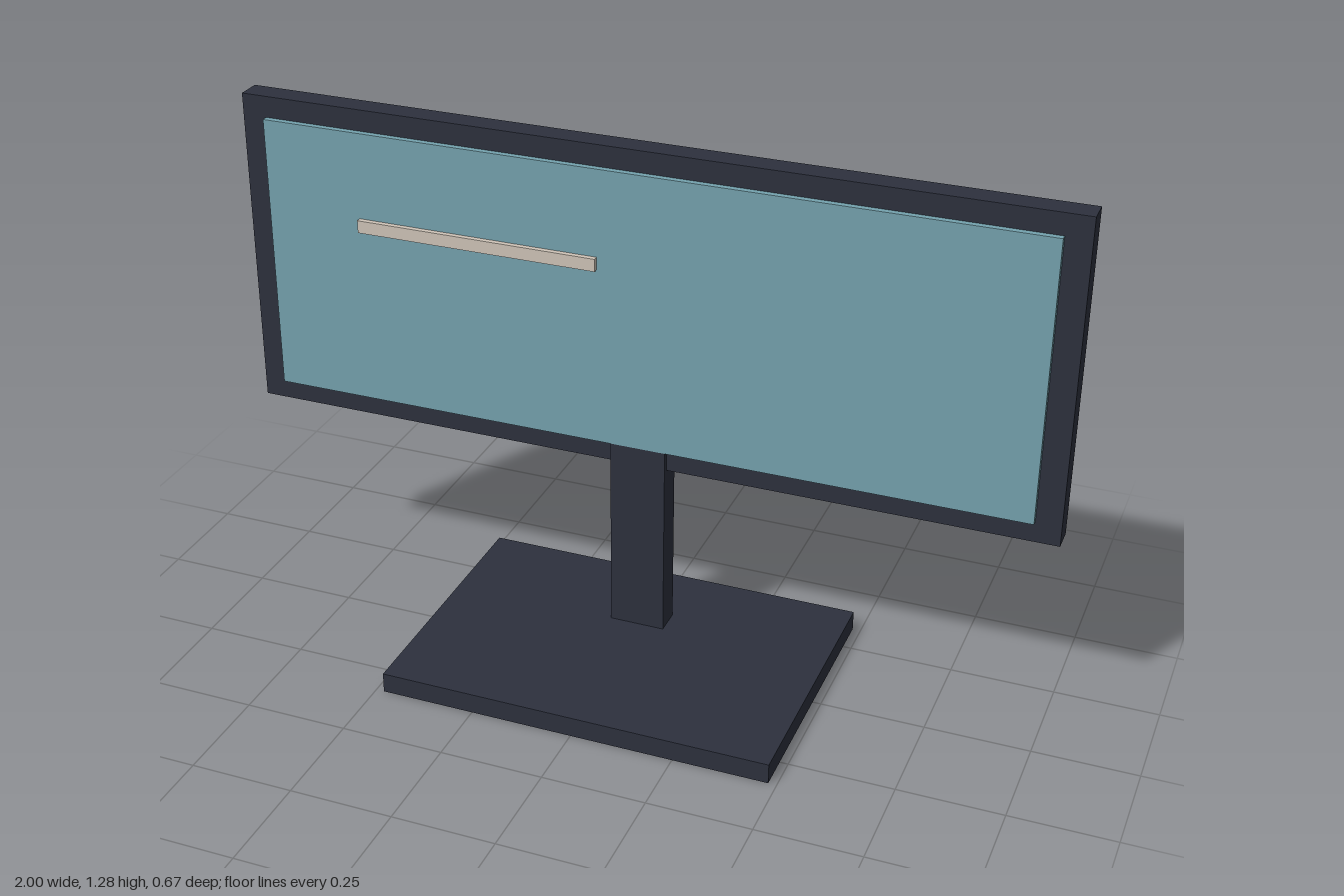
import * as THREE from 'three';

export function createModel() {
  const group = new THREE.Group();
  group.name = 'monitor';

  const dark = new THREE.MeshStandardMaterial({ color: 0x2d313e });
  const teal = new THREE.MeshStandardMaterial({ color: 0x75a3af });
  const beige = new THREE.MeshStandardMaterial({ color: 0xd0c5b9 });

  // Box given by its [min, max] extent on each axis
  function box(name, material, [x0, x1], [y0, y1], [z0, z1]) {
    const mesh = new THREE.Mesh(new THREE.BoxGeometry(x1 - x0, y1 - y0, z1 - z0), material);
    mesh.position.set((x0 + x1) / 2, (y0 + y1) / 2, (z0 + z1) / 2);
    mesh.name = name;
    group.add(mesh);
  }

  // Stand
  box('base', dark, [-0.48, 0.48], [0, 0.05], [-0.333, 0.333]);
  box('post', dark, [-0.068, 0.068], [0.05, 0.54], [-0.157, -0.089]);

  // Display
  box('housing', dark, [-1, 1], [0.488, 1.279], [-0.163, -0.103]);
  box('screen', teal, [-0.94, 0.94], [0.54, 1.227], [-0.105, -0.088]);
  box('screenBar', beige, [-0.7, -0.1], [0.983, 1.014], [-0.09, -0.075]);

  return group;
}
